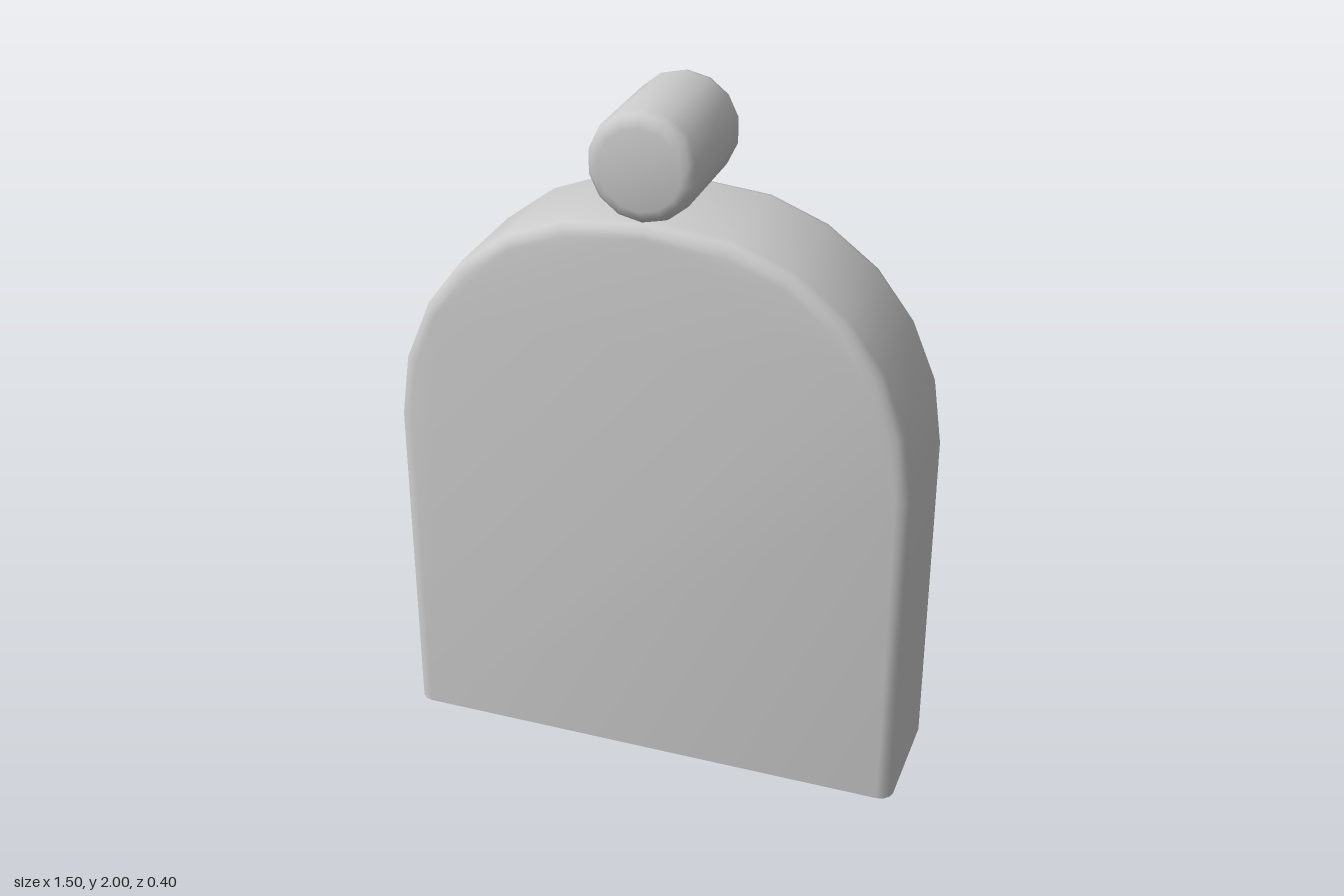
import * as THREE from 'three';
import { toCreasedNormals } from 'three/addons/utils/BufferGeometryUtils.js';

const material = new THREE.MeshStandardMaterial({ color: 0xcccccc });
const HALF_DEPTH = 0.2;
const BEVEL = 0.04;

// Arched slab: rounded front and back rims, flat sharp-edged base
function createSlab() {
  const arch = [[0.75, 1.0], [0.724, 1.185], [0.653, 1.355], [0.546, 1.497], [0.4, 1.608], [0.235, 1.673]];
  const mirrored = arch.map(([x, y]) => [-x, y]).reverse();
  const outline = [[-0.75, 0], [0.75, 0], ...arch, [0, 1.695], ...mirrored];
  const shape = new THREE.Shape(outline.map(([x, y]) => new THREE.Vector2(x, y)));

  const depth = 2 * (HALF_DEPTH - BEVEL);
  const geometry = new THREE.ExtrudeGeometry(shape, {
    depth, steps: 1, bevelEnabled: true, bevelSegments: 3,
    bevelSize: BEVEL, bevelThickness: BEVEL, bevelOffset: -BEVEL,
  });
  geometry.translate(0, 0, -depth / 2);

  // Flatten the bevel under the slab so it stands on a plain base
  const position = geometry.attributes.position;
  for (let i = 0; i < position.count; i++) {
    if (position.getY(i) < 0.1) position.setY(i, 0);
  }
  const slab = new THREE.Mesh(toCreasedNormals(geometry, 0.75), material);
  slab.name = 'archedSlab';
  return slab;
}

// Short round bar with softened rims, lying front to back on the crown
function createBar() {
  const radius = 0.155;
  const profile = [new THREE.Vector2(0, -HALF_DEPTH)];
  for (const side of [-1, 1]) {
    for (let i = 0; i <= 3; i++) {
      const angle = (side < 0 ? i : 3 - i) * Math.PI / 6;
      profile.push(new THREE.Vector2(
        radius - BEVEL + BEVEL * Math.sin(angle),
        side * (HALF_DEPTH - BEVEL + BEVEL * Math.cos(angle)),
      ));
    }
  }
  profile.push(new THREE.Vector2(0, HALF_DEPTH));
  const geometry = new THREE.LatheGeometry(profile, 14);
  geometry.rotateX(Math.PI / 2);
  const bar = new THREE.Mesh(toCreasedNormals(geometry, 0.75), material);
  bar.name = 'topBar';
  bar.position.set(-0.01, 1.845, 0);
  return bar;
}

export function createModel() {
  const model = new THREE.Group();
  model.name = 'archedSlabWithBar';
  model.add(createSlab(), createBar());
  return model;
}
